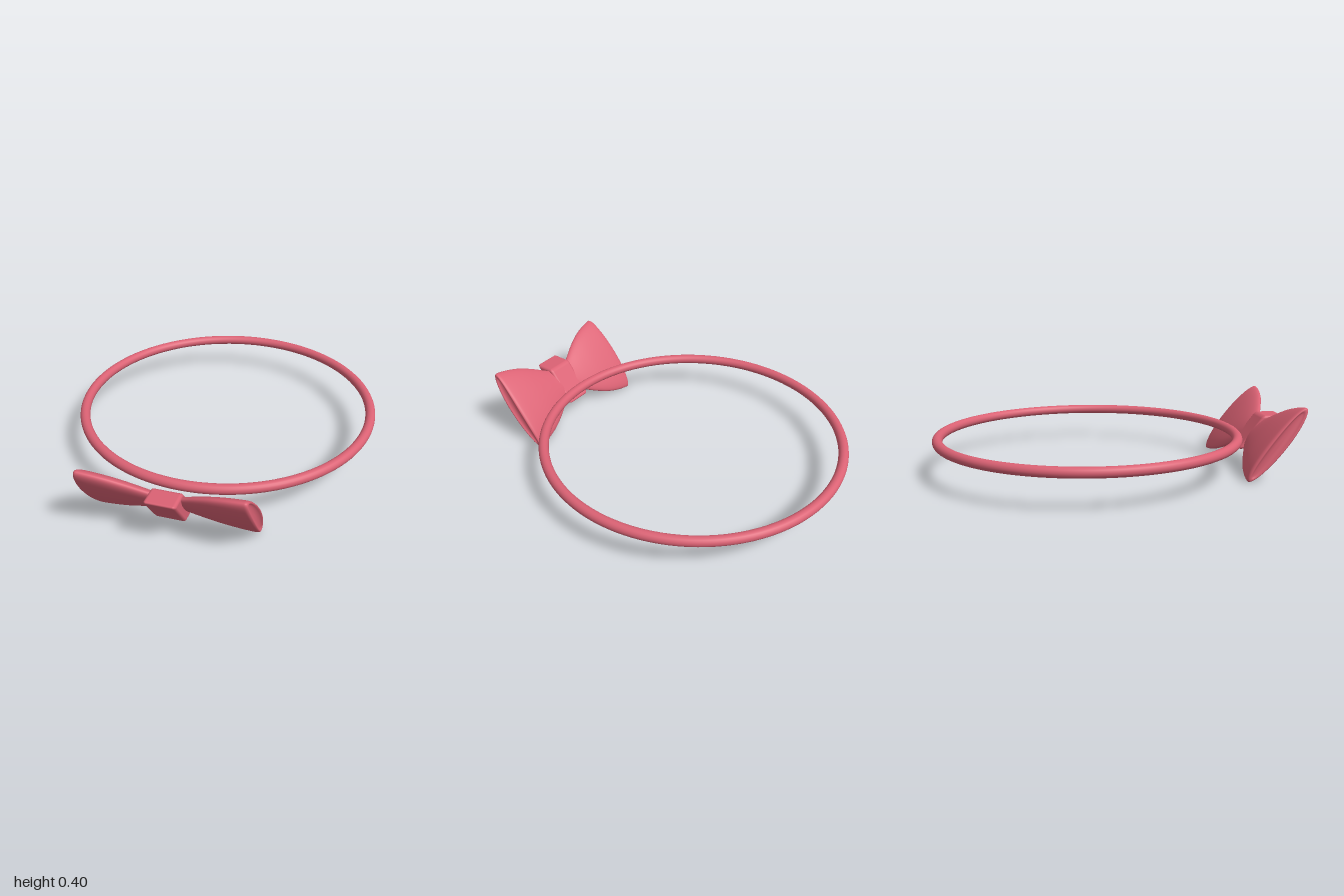
import * as THREE from 'three';
import { RoundedBoxGeometry } from 'three/addons/geometries/RoundedBoxGeometry.js';

// Leans the bow: the top moves forward while heights stay the same
const lean = new THREE.Matrix4().set(1, 0, 0, 0, 0, 1, 0, 0, 0, 0.75, 1, 0, 0, 0, 0, 1);

// Bow half: elliptical sections (x, half height, half depth), closed by a dished end
const sections = [
  [0.03, 0.068, 0.03], [0.08, 0.085, 0.036], [0.16, 0.126, 0.047], [0.24, 0.161, 0.056],
  [0.32, 0.184, 0.061], [0.4, 0.197, 0.0625], [0.42, 0.198, 0.06], [0.429, 0.193, 0.053],
  [0.43, 0.182, 0.045], [0.422, 0.165, 0.034], [0.415, 0.08, 0.016], [0.414, 0.0005, 0.0005],
].map((s) => new THREE.Vector3(...s));

function wingGeometry(side) {
  const rings = 48, around = 48, positions = [], index = [];
  const curve = new THREE.CatmullRomCurve3(sections, false, 'centripetal');
  for (let i = 0; i <= rings; i++) {
    const s = curve.getPoint(i / rings);
    for (let j = 0; j < around; j++) {
      const angle = (j / around) * Math.PI * 2;
      const y = Math.cos(angle) * s.y;
      // the end bulges outwards at mid height
      const bulge = 0.016 * (y / 0.2) ** 2 * (s.x / 0.43) ** 4;
      positions.push(side * (s.x - bulge), y, Math.sin(angle) * s.z);
      if (i < rings) {
        const a = i * around + j, b = i * around + ((j + 1) % around);
        const c = a + around, d = b + around;
        if (side > 0) index.push(a, b, c, b, d, c);
        else index.push(a, c, b, b, c, d);
      }
    }
  }
  const geometry = new THREE.BufferGeometry();
  geometry.setAttribute('position', new THREE.Float32BufferAttribute(positions, 3));
  geometry.setIndex(index);
  geometry.applyMatrix4(lean);
  geometry.computeVertexNormals();
  return geometry;
}

export function createModel() {
  const model = new THREE.Group();
  model.name = 'bowTie';
  const rose = new THREE.MeshStandardMaterial({ color: 0xdb6274 });
  rose.name = 'rose';

  const add = (name, geometry, x, y, z) => {
    const mesh = new THREE.Mesh(geometry, rose);
    mesh.name = name;
    mesh.position.set(x, y, z);
    model.add(mesh);
    return mesh;
  };

  // Neck band
  const band = new THREE.TorusGeometry(0.824, 0.0275, 20, 120);
  band.rotateX(Math.PI / 2);
  add('neckBand', band, 0, 0.202, -0.133).scale.z = 1.018;

  // Two bow halves
  add('leftWing', wingGeometry(1), 0, 0.2, 0.8375);
  add('rightWing', wingGeometry(-1), 0, 0.2, 0.8375);

  // Centre knot
  const knot = new RoundedBoxGeometry(0.16, 0.194, 0.122, 3, 0.016);
  knot.applyMatrix4(lean);
  add('knot', knot, 0, 0.2, 0.865);

  return model;
}
